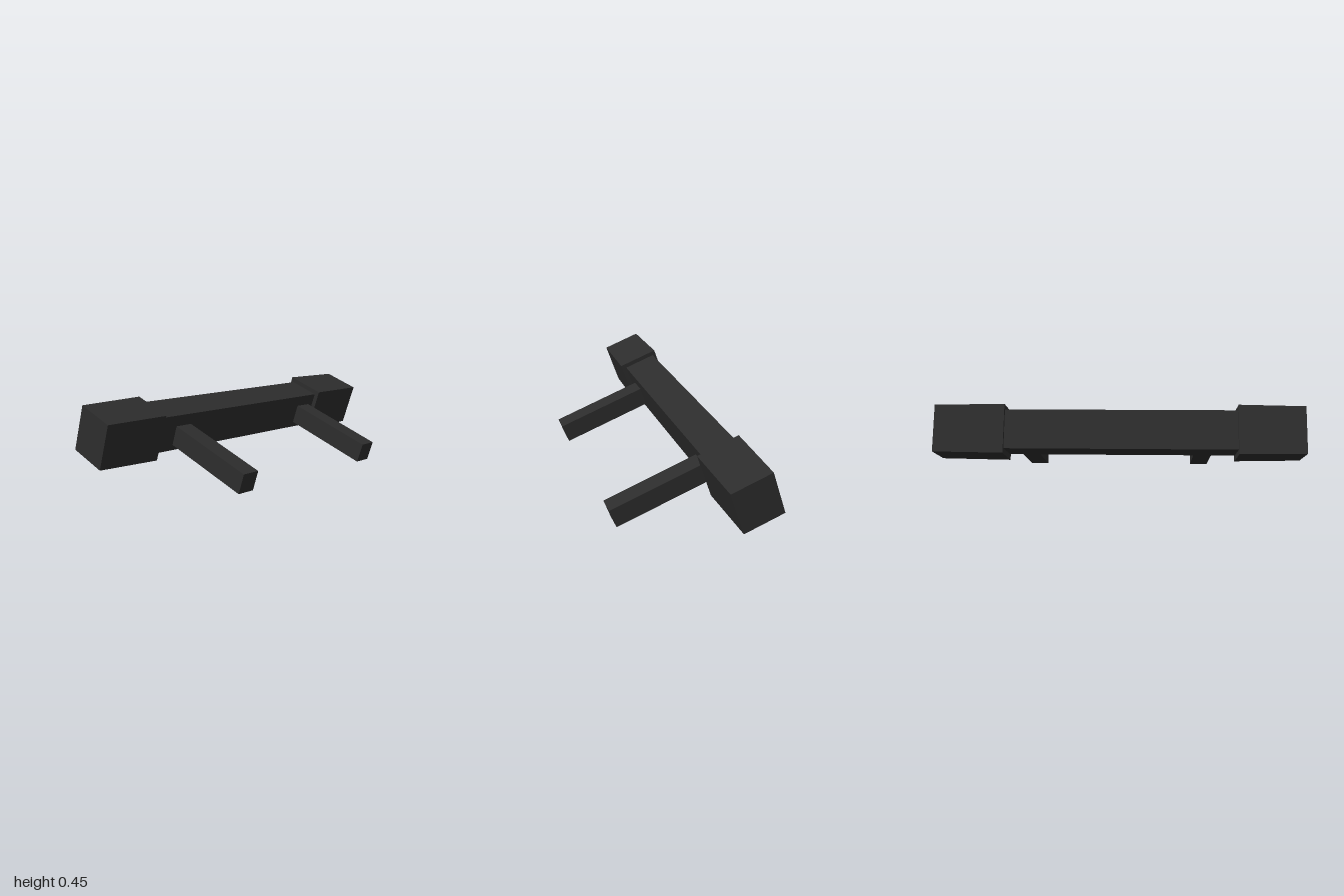
import * as THREE from 'three';

const TILT = THREE.MathUtils.degToRad(-19.3);

export function createModel() {
  const model = new THREE.Group();
  model.name = 'tiltedBarWithPegs';
  const charcoal = new THREE.MeshStandardMaterial({ color: 0x2d2d2d });
  charcoal.name = 'charcoal';

  // Every part shares the same lean around z
  const add = (name, geometry, x, y, z) => {
    const mesh = new THREE.Mesh(geometry, charcoal);
    mesh.name = name;
    mesh.position.set(x, y, z);
    mesh.rotation.z = TILT;
    model.add(mesh);
  };

  // End block whose outer face is slightly smaller than its inner face
  const taperedBlock = (depth, outward) => {
    const geometry = new THREE.BoxGeometry(0.241, 0.268, depth);
    const p = geometry.attributes.position;
    for (let i = 0; i < p.count; i++) {
      if (p.getZ(i) * outward > 0) p.setXY(i, p.getX(i) * 0.953, p.getY(i) * 0.958);
    }
    geometry.computeVertexNormals();
    return geometry;
  };

  // Long beam between the end blocks
  add('beam', new THREE.BoxGeometry(0.193, 0.214, 1.27), -0.232, 0.281, 0.01);

  // End blocks
  add('frontEndBlock', taperedBlock(0.36, 1), -0.229, 0.279, 0.82);
  add('backEndBlock', taperedBlock(0.382, -1), -0.229, 0.279, -0.809);

  // Two pegs running down from the beam, ending at ground level
  for (const [name, z] of [['frontPeg', 0.474], ['backPeg', -0.526]]) {
    add(name, new THREE.BoxGeometry(0.56, 0.115, 0.103), 0.102, 0.147, z);
  }

  return model;
}
